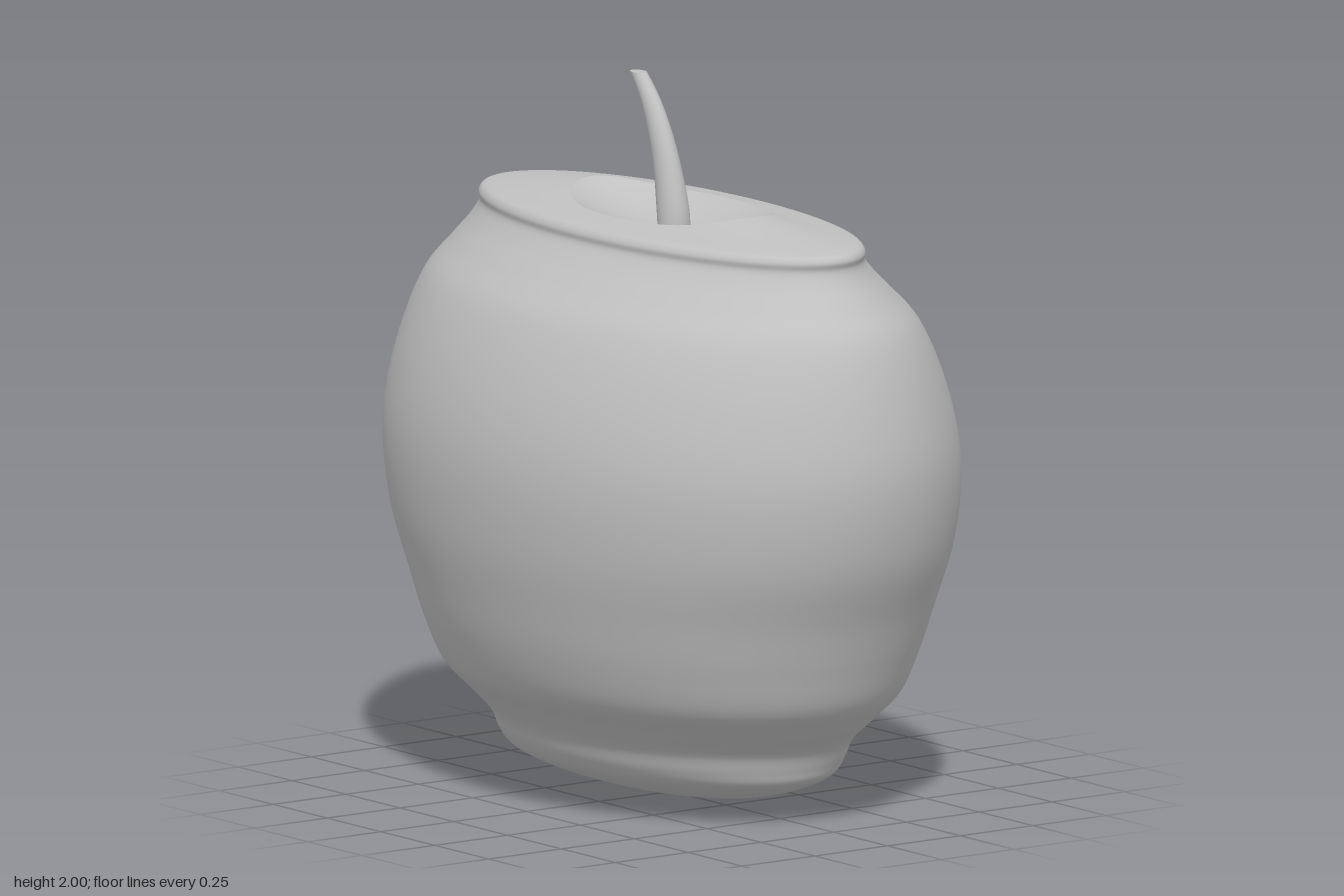
import * as THREE from 'three';

// Skin elliptical rings { y, rx, rz, z, lift } listed from bottom to top (outside facing out)
function loft(rings, sides) {
  const pos = [], idx = [];
  rings.forEach((r, j) => {
    for (let i = 0; i < sides; i++) {
      const a = (i / sides) * Math.PI * 2;
      const s = Math.sin(a), c = Math.cos(a);
      pos.push(r.rx * s, r.y + (r.lift || 0) * c ** 4, (r.z || 0) + r.rz * c);
      if (j === 0) continue;
      const k = (i + 1) % sides, p = (j - 1) * sides, q = j * sides;
      idx.push(p + i, p + k, q + k, p + i, q + k, q + i);
    }
  });
  const g = new THREE.BufferGeometry();
  g.setAttribute('position', new THREE.Float32BufferAttribute(pos, 3));
  g.setIndex(idx);
  g.computeVertexNormals();
  return g;
}

// Smooth a few [rx, rz, y] stations into many rings
function smoothRings(stations, count) {
  const curve = new THREE.CatmullRomCurve3(
    stations.map(([rx, rz, y]) => new THREE.Vector3(rx, rz, y)), false, 'centripetal');
  return curve.getPoints(count).map((p) => ({ rx: Math.max(0, p.x), rz: Math.max(0, p.y), y: p.z }));
}

export function createModel() {
  const group = new THREE.Group();
  const grey = new THREE.MeshStandardMaterial({ color: 0xc0c0c0 });
  grey.name = 'plain grey';
  const add = (name, geometry) => {
    const mesh = new THREE.Mesh(geometry, grey);
    mesh.name = name;
    group.add(mesh);
  };

  // Body: flattened fruit with a shallow pointed base, foot ridge and top lip
  const body = smoothRings([
    [0, 0, 0], [0.09, 0.2, 0.02], [0.2, 0.4, 0.045], [0.3, 0.53, 0.08],
    [0.36, 0.597, 0.115], [0.388, 0.613, 0.15], [0.41, 0.635, 0.2],
    [0.47, 0.71, 0.27], [0.54, 0.785, 0.345], [0.59, 0.835, 0.46],
    [0.625, 0.885, 0.59], [0.66, 0.965, 0.78], [0.663, 1, 1],
    [0.615, 0.975, 1.2], [0.52, 0.915, 1.39], [0.43, 0.845, 1.48],
    [0.36, 0.793, 1.545], [0.328, 0.777, 1.583], [0.327, 0.782, 1.604],
    [0.315, 0.772, 1.62], [0.285, 0.73, 1.629],
  ], 110);
  // Top shelf rises to the crater rim, highest at the front and back
  for (let i = 1; i <= 6; i++) {
    const t = i / 6;
    body.push({
      rx: 0.285 - 0.075 * t, rz: 0.73 - 0.355 * t,
      y: 1.629 + 0.012 * t, lift: 0.031 * t,
    });
  }
  add('body', loft(body, 96));

  // Crater: shallow bowl with a crisp rim
  const crater = [];
  for (let i = 0; i <= 10; i++) {
    const t = 1 - i / 10;
    crater.push({
      rx: 0.21 * t, rz: 0.375 * t,
      y: 1.58 + 0.061 * t ** 1.6, lift: 0.031 * t ** 5,
    });
  }
  add('crater', loft(crater, 96));

  // Stem: tapered, curving backward, cut level at the tip
  const path = new THREE.CatmullRomCurve3([
    [0.012, 1.56, 0.046], [0.004, 1.64, 0.044], [-0.018, 1.74, 0.037],
    [-0.053, 1.84, 0.031], [-0.1, 1.93, 0.025], [-0.155, 2, 0.02],
  ].map(([z, y, r]) => new THREE.Vector3(r, y, z)));
  const stem = path.getPoints(24).map((p, i) => ({
    rx: p.x, rz: p.x * (1 + 0.5 * (i / 24)), y: p.y, z: p.z,
  }));
  add('stem', loft(stem, 24));
  const tip = stem[stem.length - 1];
  add('stemTip', loft([tip, { ...tip, rx: 0, rz: 0 }], 24));

  return group;
}
